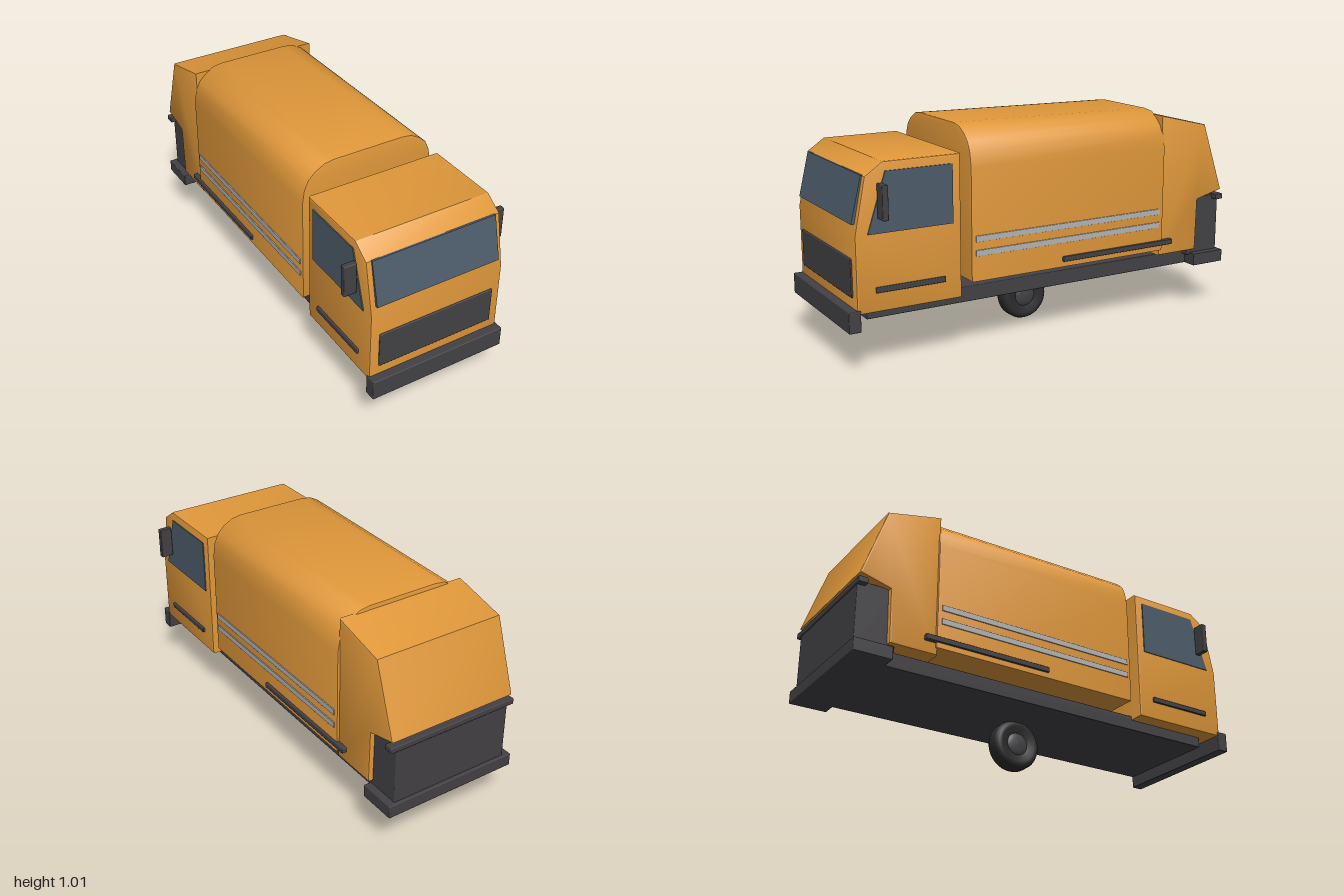
import * as THREE from 'three';
import { toCreasedNormals } from 'three/addons/utils/BufferGeometryUtils.js';
import { RoundedBoxGeometry } from 'three/addons/geometries/RoundedBoxGeometry.js';

const paint = (color) => new THREE.MeshStandardMaterial({ color });
const orange = paint(0xe0983a);
const dark = paint(0x434145);
const glass = paint(0x4d5d6b);
const silver = paint(0xb4b4b4);
const rubber = paint(0x2c2c2e);

export function createModel() {
  const truck = new THREE.Group();
  truck.name = 'refuseTruck';

  const add = (name, geometry, material) => {
    const mesh = new THREE.Mesh(geometry, material);
    mesh.name = name;
    truck.add(mesh);
    return mesh;
  };

  // Box given by its limits on each axis
  const box = (name, [x0, x1], [y0, y1], [z0, z1], material, r = 0.004) => {
    const mesh = add(name, new RoundedBoxGeometry(x1 - x0, y1 - y0, z1 - z0, 1, r), material);
    mesh.position.set((x0 + x1) / 2, (y0 + y1) / 2, (z0 + z1) / 2);
    return mesh;
  };

  // Bevelled extrusion of a 2D outline, centred on its depth
  const extrude = (points, depth, bevel) => {
    const shape = new THREE.Shape(points.map(([a, b]) => new THREE.Vector2(a, b)));
    const geometry = new THREE.ExtrudeGeometry(shape, {
      depth: depth - 2 * bevel, bevelEnabled: bevel > 0, bevelThickness: bevel,
      bevelSize: bevel, bevelOffset: -bevel, bevelSegments: 2,
    });
    return geometry.translate(0, 0, bevel - depth / 2);
  };

  // Side outline of [z, y] points, extruded across the width
  const sidePart = (name, points, width, bevel, material) =>
    add(name, toCreasedNormals(extrude(points, width, bevel).rotateY(-Math.PI / 2), 0.5), material);

  // Chassis and bumpers
  box('chassis', [-0.26, 0.26], [0.22, 0.29], [-0.95, 0.89], dark);
  box('frontBumper', [-0.335, 0.335], [0.195, 0.29], [0.945, 1], dark);
  box('rearBumper', [-0.33, 0.33], [0.22, 0.28], [-1, -0.82], dark);

  // Cab
  sidePart('cab', [[0.47, 0.27], [0.96, 0.27], [0.96, 0.61], [0.91, 0.855],
    [0.83, 0.91], [0.47, 0.91]], 0.66, 0.008, orange);
  sidePart('windshield', [[0.94, 0.655], [0.965, 0.655], [0.916, 0.857], [0.89, 0.857]], 0.61, 0, glass);
  box('grille', [-0.287, 0.287], [0.335, 0.505], [0.94, 0.967], dark);

  // Body with a rounded roof that falls slightly to the rear
  const half = [[0.33, 0.33], [0.33, 0.84], [0.32, 0.905], [0.3, 0.95],
    [0.265, 0.983], [0.22, 1.008], [0.17, 1.015]];
  const section = [...half, ...half.map(([x, y]) => [-x, y]).reverse()];
  const bodyGeometry = extrude(section, 1.04, 0.006).translate(0, 0, -0.1);
  const p = bodyGeometry.attributes.position;
  for (let i = 0; i < p.count; i++) {
    const back = (0.42 - p.getZ(i)) / 1.04;
    if (p.getY(i) > 0.6) p.setY(i, p.getY(i) - 0.014 * back);
  }
  add('body', toCreasedNormals(bodyGeometry, 0.6), orange);

  // Rear hopper, with the dark loading box and sill beneath it
  sidePart('hopper', [[-0.61, 0.3], [-0.61, 0.982], [-0.87, 0.92], [-0.985, 0.588],
    [-0.84, 0.552], [-0.835, 0.3]], 0.636, 0.008, orange);
  box('loadingBox', [-0.295, 0.295], [0.27, 0.56], [-0.985, -0.8], dark);
  box('loadingSill', [-0.325, 0.325], [0.54, 0.567], [-0.992, -0.948], dark);

  // Fittings on both sides
  for (const [side, s] of [['left', 1], ['right', -1]]) {
    const span = (a, b) => (s > 0 ? [a, b] : [-b, -a]);
    const sideWindow = sidePart(side + 'Window',
      [[0.51, 0.61], [0.905, 0.61], [0.82, 0.87], [0.51, 0.87]], 0.02, 0, glass);
    sideWindow.position.x = s * 0.325;
    box(side + 'MirrorArm', span(0.32, 0.36), [0.743, 0.757], [0.842, 0.858], dark);
    box(side + 'Mirror', span(0.338, 0.398), [0.675, 0.825], [0.835, 0.862], dark);
    box(side + 'CabTrim', span(0.32, 0.34), [0.355, 0.38], [0.55, 0.875], dark);
    box(side + 'BodyTrim', span(0.31, 0.341), [0.355, 0.38], [-0.675, -0.05], dark);
    for (const y of [0.445, 0.51]) {
      box(side + 'Stripe', span(0.32, 0.335), [y, y + 0.027], [-0.6, 0.4], silver, 0.001);
    }
  }

  // Single central wheel: rounded tyre with a domed hub on each face
  const tyre = [[0.05, -0.034], [0.085, -0.045], [0.1, -0.044], [0.111, -0.036], [0.117, -0.022],
    [0.117, 0.022], [0.111, 0.036], [0.1, 0.044], [0.085, 0.045], [0.05, 0.034]];
  const hub = [[0, -0.046], [0.03, -0.044], [0.05, -0.038], [0.056, -0.03],
    [0.056, 0.03], [0.05, 0.038], [0.03, 0.044], [0, 0.046]];
  for (const [name, profile, material] of [['tyre', tyre, rubber], ['wheelHub', hub, dark]]) {
    const geometry = new THREE.LatheGeometry(profile.map(([r, y]) => new THREE.Vector2(r, y)), 40);
    add(name, geometry.rotateZ(Math.PI / 2), material).position.set(0, 0.117, -0.025);
  }

  return truck;
}
